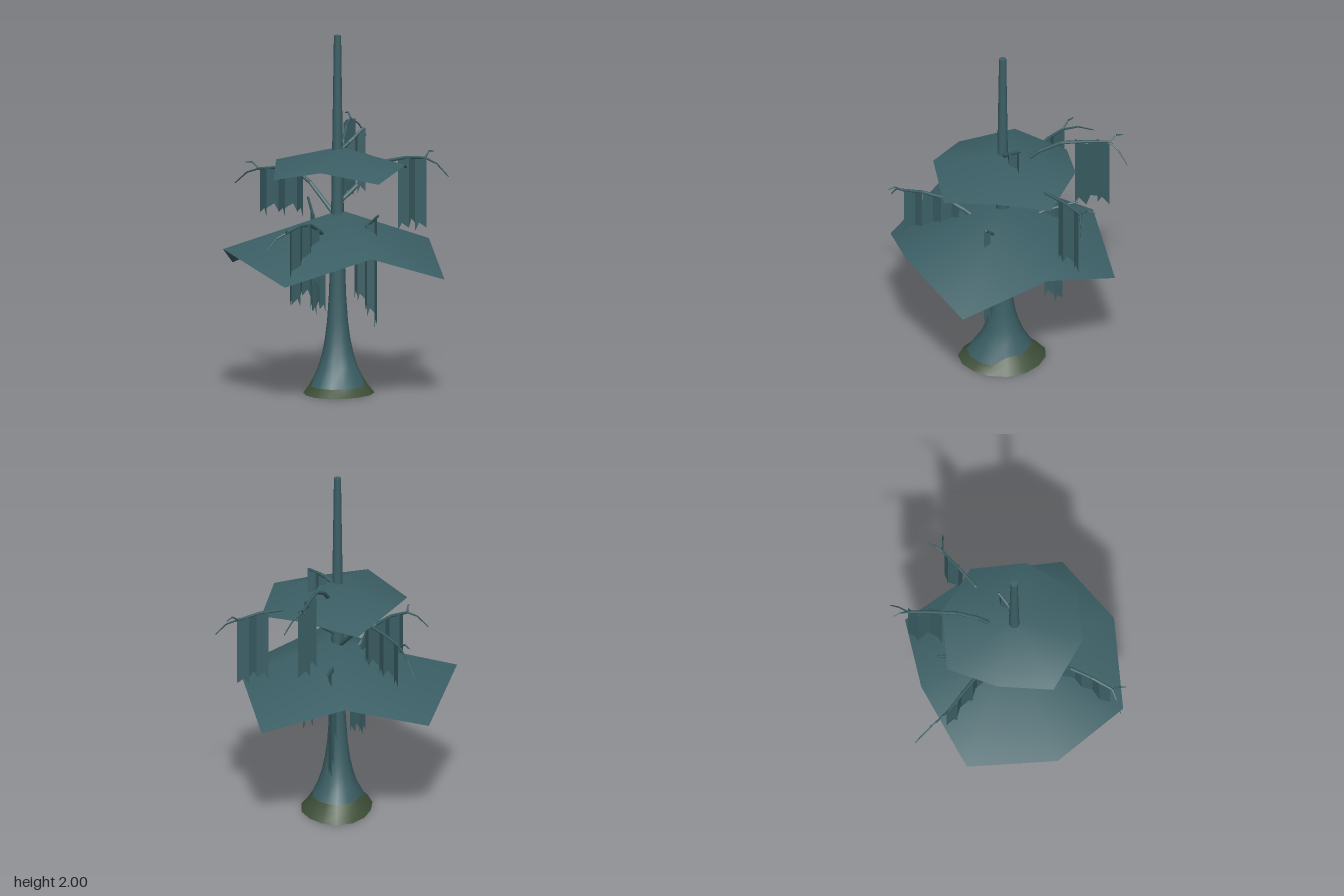
import * as THREE from 'three';

const teal = new THREE.MeshStandardMaterial({ color: 0x3b5f65, side: THREE.DoubleSide });
teal.name = 'swampTeal';
const moss = new THREE.MeshStandardMaterial({ color: 0x3f5039, side: THREE.DoubleSide });
moss.name = 'mossGreen';

const vec = p => new THREE.Vector3(...p);
const lerp = THREE.MathUtils.lerp;

function surface(name, positions, index, material) {
  const g = new THREE.BufferGeometry();
  g.setAttribute('position', new THREE.Float32BufferAttribute(positions, 3));
  g.setIndex(index);
  g.computeVertexNormals();
  const m = new THREE.Mesh(g, material);
  m.name = name;
  return m;
}

// Trunk radius by height: a slow taper plus a root flare
const radiusAt = y => 0.05 - 0.015 * y + 0.147 * Math.exp(-y / 0.17);
// Moss sits lower on the front
const mossTop = a => (Math.sin(a) > 0.4 ? 0.045 : 0.085);

// Loft of rings; each ring gives a height for an angle
function trunkPart(name, rings, material) {
  const n = 14, pos = [], idx = [];
  rings.forEach((heightAt, j) => {
    for (let i = 0; i < n; i++) {
      const a = i / n * Math.PI * 2, y = heightAt(a), r = radiusAt(y);
      const flare = Math.max(0, 1 - y / 0.4);
      const lobe = 1 + 0.04 * flare * Math.cos(3 * a);
      pos.push(0.004 + Math.cos(a) * r * lobe, y, 0.035 + Math.sin(a) * r * lobe * (1 + 0.24 * flare));
      if (j) {
        const k = (i + 1) % n, lo = (j - 1) * n, hi = j * n;
        idx.push(lo + i, hi + i, lo + k, lo + k, hi + i, hi + k);
      }
    }
  });
  return surface(name, pos, idx, material);
}

// Shallow umbrella of leaves with alternating low and high corners
function canopy(name, apexY, high, low, rim) {
  const pos = [0.02, apexY, 0.03], idx = [];
  rim.forEach(([x, z], i) => {
    pos.push(x, i % 2 ? high : low, z);
    idx.push(0, 1 + (i + 1) % rim.length, 1 + i);
  });
  return surface(name, pos, idx, teal);
}

// Tapered limb along a list of points
function limb(name, pts, r0, r1) {
  const g = new THREE.Group(), n = pts.length - 1;
  g.name = name;
  for (let i = 0; i < n; i++) {
    const dir = pts[i + 1].clone().sub(pts[i]), len = dir.length();
    const m = new THREE.Mesh(new THREE.CylinderGeometry(lerp(r0, r1, (i + 1) / n), lerp(r0, r1, i / n), len, 6), teal);
    m.name = 'limbSegment';
    m.position.copy(pts[i]).addScaledVector(dir, 0.5);
    m.quaternion.setFromUnitVectors(new THREE.Vector3(0, 1, 0), dir.normalize());
    g.add(m);
  }
  return g;
}

// Strips with ragged ends hanging from part of a branch, folded in a zigzag
function curtain(curve, { from, to, strips, inner, outer, fold = 0.012 }) {
  const pos = [], idx = [];
  for (let i = 0; i < strips; i++) {
    const p = curve.getPointAt(lerp(from, to, i / strips));
    const q = curve.getPointAt(lerp(from, to, (i + 1) / strips));
    const side = new THREE.Vector3(q.z - p.z, 0, p.x - q.x).setLength(i % 2 ? -fold : fold);
    p.add(side);
    q.sub(side);
    const m = p.clone().lerp(q, 0.35), o = pos.length / 3;
    const bottom = lerp(inner, outer, i / (strips - 1)) + 0.025 * (i % 2);
    pos.push(...p, ...m, ...q, p.x, bottom, p.z, m.x, bottom + 0.045, m.z, q.x, bottom + 0.015, q.z);
    idx.push(o, o + 3, o + 1, o + 1, o + 3, o + 4, o + 1, o + 4, o + 2, o + 2, o + 4, o + 5);
  }
  return surface('hangingStrips', pos, idx, teal);
}

// Branch from the trunk over a shoulder to its end, with forks and strips
function branch(name, startY, shoulder, end, forkTips, strips) {
  const g = new THREE.Group();
  g.name = name;
  const curve = new THREE.CatmullRomCurve3([new THREE.Vector3(0, startY, 0.035), vec(shoulder), vec(end)]);
  g.add(limb('limb', curve.getSpacedPoints(5), 0.014, 0.007));
  for (const tip of forkTips) {
    // Forks bend a little upwards at mid length
    const a = vec(end), b = vec(tip), mid = a.clone().lerp(b, 0.5);
    mid.y += 0.02;
    g.add(limb('fork', [a, mid, b], 0.006, 0.003));
  }
  g.add(curtain(curve, strips));
  return g;
}

export function createModel() {
  const model = new THREE.Group();
  model.name = 'swampTree';

  // Trunk, mossy foot and flat tip
  const heights = [0.15, 0.22, 0.3, 0.4, 0.55, 0.8, 1.2, 1.6, 2];
  model.add(trunkPart('mossyFoot', [() => 0, a => mossTop(a) / 2, mossTop], moss));
  model.add(trunkPart('trunk', [mossTop, ...heights.map(y => () => y)], teal));
  const tip = new THREE.Mesh(new THREE.CircleGeometry(radiusAt(2), 14), teal);
  tip.name = 'trunkTip';
  tip.rotation.x = -Math.PI / 2;
  tip.position.set(0.004, 2, 0.035);
  model.add(tip);

  // Canopies
  model.add(canopy('lowerCanopy', 1.02, 0.835, 0.68, [[0.31, -0.55], [0.51, -0.145], [0.595, 0.34], [0.19, 0.6],
    [-0.29, 0.62], [-0.63, 0.235], [-0.575, -0.265], [-0.145, -0.49]]));
  model.add(canopy('upperCanopy', 1.375, 1.287, 1.22, [[-0.19, -0.35], [0.13, -0.355], [0.39, -0.18], [0.38, 0.125],
    [0.23, 0.395], [-0.09, 0.41], [-0.35, 0.23], [-0.335, -0.08]]));

  // Large forked branches
  model.add(branch('frontBranch', 0.8, [-0.16, 0.995, 0.36], [-0.28, 0.975, 0.56],
    [[-0.39, 0.88, 0.6], [-0.275, 0.985, 0.635]],
    { from: 0.45, to: 0.97, strips: 6, inner: 0.62, outer: 0.53 }));
  model.add(branch('backRightBranch', 0.98, [-0.22, 1.21, -0.17], [-0.43, 1.19, -0.36],
    [[-0.5, 1.215, -0.43], [-0.56, 1.08, -0.55]],
    { from: 0.48, to: 1, strips: 5, inner: 0.96, outer: 0.93 }));
  model.add(branch('backLeftBranch', 1.05, [0.28, 1.265, -0.17], [0.49, 1.255, -0.33],
    [[0.535, 1.28, -0.41], [0.62, 1.15, -0.32]],
    { from: 0.73, to: 1, strips: 3, inner: 0.86, outer: 0.85 }));
  model.add(branch('backBranch', 1.2, [0.05, 1.43, -0.24], [0.08, 1.44, -0.55],
    [[0.05, 1.46, -0.63], [0.165, 1.33, -0.64]],
    { from: 0.72, to: 1, strips: 3, inner: 1.02, outer: 1.02, fold: 0.025 }));

  // Short twigs close to the trunk
  model.add(branch('lowerLeftTwig', 0.75, [0.1, 0.87, 0.07], [0.23, 1.01, 0.16], [],
    { from: 0.4, to: 1, strips: 5, inner: 0.53, outer: 0.38 }));
  model.add(branch('lowerBackTwig', 0.78, [-0.01, 0.92, -0.13], [-0.025, 0.98, -0.39], [],
    { from: 0.4, to: 0.82, strips: 4, inner: 0.48, outer: 0.3 }));
  model.add(branch('lowerRightTwig', 0.72, [-0.1, 0.9, 0.05], [-0.16, 1.1, 0.06], [],
    { from: 0.3, to: 0.9, strips: 4, inner: 0.45, outer: 0.43 }));
  model.add(branch('upperTwig', 1.34, [0.07, 1.4, 0.02], [0.15, 1.47, -0.045], [],
    { from: 0.4, to: 1, strips: 3, inner: 1.17, outer: 1.1 }));
  return model;
}
